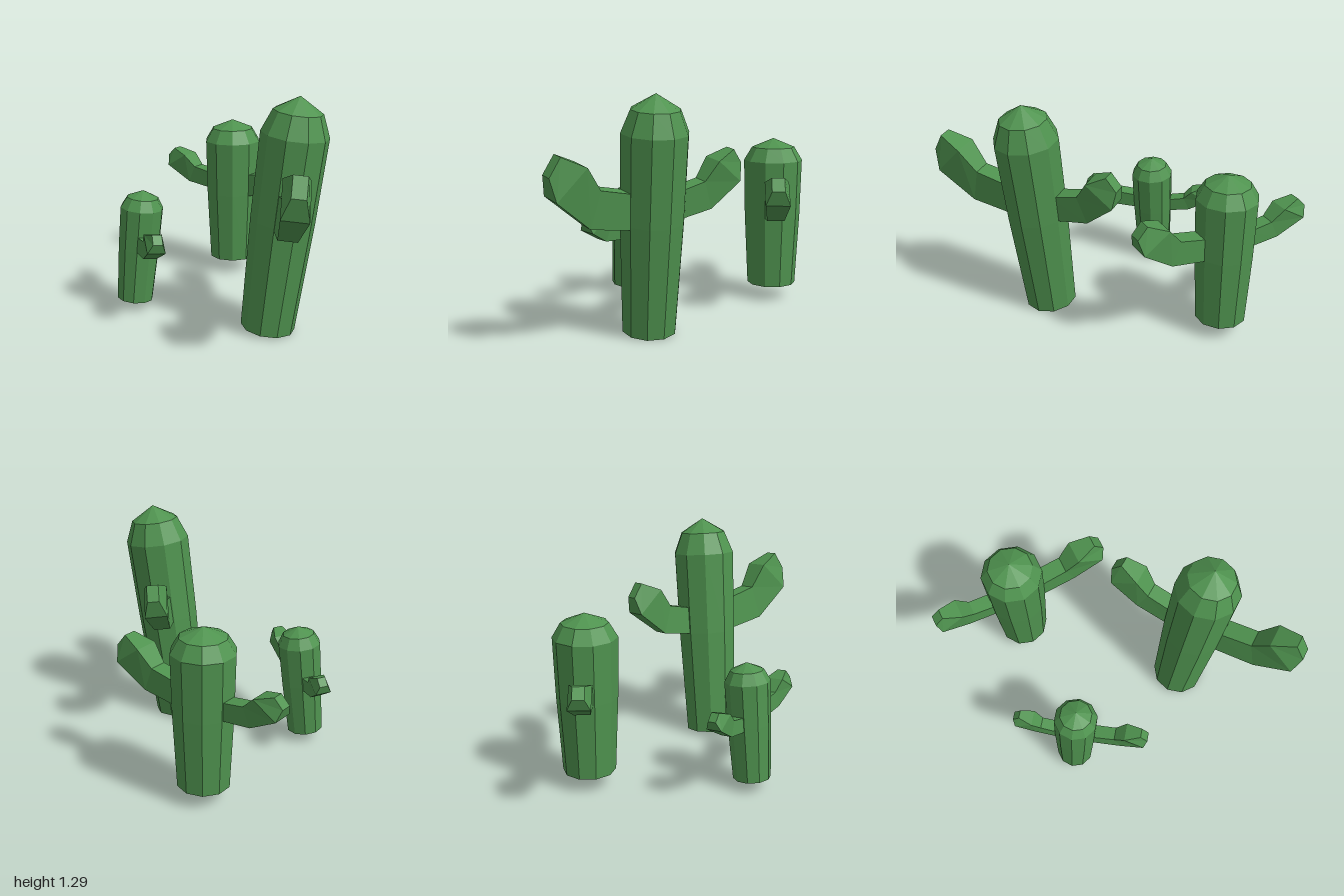
import * as THREE from 'three';

const material = new THREE.MeshStandardMaterial({ color: 0x4f934f, flatShading: true });
const SIDES = 10;

// Arm sections from root to end, as shares of the arm's width, reach and rise:
// half width, bottom reach, bottom rise, top reach, top rise
const ARM_SECTIONS = [
  [0.75, 0.25, 0, 0.25, 0.45],
  [0.72, 0.64, 0.09, 0.55, 0.55],
  [1, 0.96, 0.49, 0.69, 0.86],
  [0.52, 1, 0.77, 0.9, 1],
];

// Ten-sided stem with a domed top; one flat face points along +z
function makeStem(baseRadius, radius, height, domeHeight) {
  const shoulder = height - domeHeight;
  const points = [
    new THREE.Vector2(0, 0),
    new THREE.Vector2(baseRadius, 0),
    new THREE.Vector2(radius * 0.955, height * 0.48),
    new THREE.Vector2(radius, shoulder),
    new THREE.Vector2(radius * 0.73, shoulder + domeHeight * 0.6),
    new THREE.Vector2(0, height),
  ];
  const stem = new THREE.Mesh(new THREE.LatheGeometry(points, SIDES, Math.PI / SIDES), material);
  stem.name = 'stem';
  return stem;
}

// Four-sided bent arm growing along +z, with its underside starting at height y
function makeArm(name, { reach, y, rise, width }) {
  const positions = [];
  const index = [];
  ARM_SECTIONS.forEach(([w, bottomZ, bottomY, topZ, topY], i) => {
    const x = w * width;
    const low = [y + bottomY * rise, bottomZ * reach];
    const high = [y + topY * rise, topZ * reach];
    positions.push(-x, ...low, x, ...low, x, ...high, -x, ...high);
    if (i === 0) return;
    const a = (i - 1) * 4;
    for (let j = 0; j < 4; j++) {
      const k = (j + 1) % 4;
      index.push(a + j, a + k, a + 4 + k, a + j, a + 4 + k, a + 4 + j);
    }
  });
  // Flat end of the arm
  const e = (ARM_SECTIONS.length - 1) * 4;
  index.push(e, e + 1, e + 2, e, e + 2, e + 3);
  const geometry = new THREE.BufferGeometry();
  geometry.setAttribute('position', new THREE.Float32BufferAttribute(positions, 3));
  geometry.setIndex(index);
  geometry.computeVertexNormals();
  const arm = new THREE.Mesh(geometry, material);
  arm.name = name;
  return arm;
}

// spin turns the arms about the stem; base and lean place and tilt the cactus
function makeCactus({ name, base, lean, spin, stem, frontArm, backArm }) {
  const cactus = new THREE.Group();
  cactus.name = name;
  const back = makeArm('backArm', backArm);
  back.rotation.y = Math.PI;
  cactus.add(makeStem(...stem), makeArm('frontArm', frontArm), back);

  const up = new THREE.Vector3(0, 1, 0);
  const axis = new THREE.Vector3(lean[0], 1, lean[1]).normalize();
  const turn = new THREE.Quaternion().setFromAxisAngle(up, THREE.MathUtils.degToRad(spin));
  cactus.quaternion.setFromUnitVectors(up, axis).multiply(turn);
  cactus.position.set(...base);
  return cactus;
}

export function createModel() {
  const model = new THREE.Group();
  model.name = 'cactusCluster';
  model.add(
    makeCactus({
      name: 'tallCactus', base: [-0.066, 0.018, 0.395], lean: [0.076, 0.099], spin: -36,
      stem: [0.147, 0.18, 1.28, 0.2],
      frontArm: { reach: 0.605, y: 0.6, rise: 0.42, width: 0.07 },
      backArm: { reach: 0.535, y: 0.61, rise: 0.34, width: 0.062 },
    }),
    makeCactus({
      name: 'middleCactus', base: [0.366, 0.09, -0.52], lean: [0, 0], spin: 18,
      stem: [0.143, 0.172, 0.88, 0.13],
      frontArm: { reach: 0.55, y: 0.42, rise: 0.295, width: 0.068 },
      backArm: { reach: 0.495, y: 0.425, rise: 0.22, width: 0.058 },
    }),
    makeCactus({
      name: 'smallCactus', base: [-0.486, 0.06, -0.305], lean: [0.081, 0.055], spin: -18,
      stem: [0.102, 0.122, 0.64, 0.1],
      frontArm: { reach: 0.41, y: 0.31, rise: 0.19, width: 0.05 },
      backArm: { reach: 0.355, y: 0.29, rise: 0.17, width: 0.044 },
    }),
  );
  return model;
}
